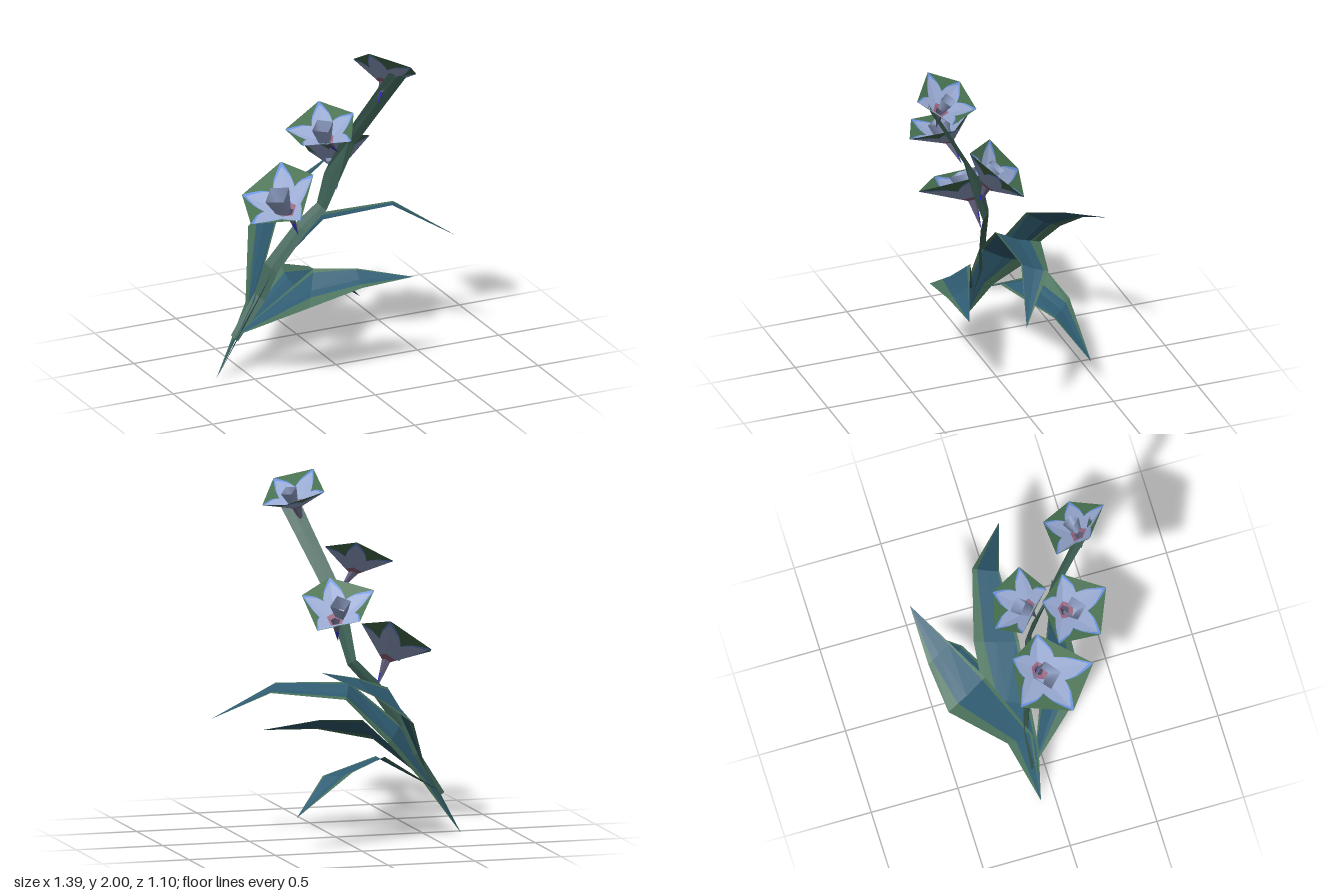
import * as THREE from 'three';

const V = (p) => new THREE.Vector3(...p);
const mix = (a, b, t) => a.clone().lerp(b, t);
const mat = (name, color, flatShading = true) => {
  const m = new THREE.MeshStandardMaterial({ color, side: THREE.DoubleSide, flatShading });
  m.name = name;
  return m;
};

// A strip spanning two polylines of equal length, optionally softened towards one normal
function strip(name, a, b, material, normal) {
  const pts = [];
  for (let i = 0; i < a.length - 1; i++) {
    pts.push(a[i], b[i], b[i + 1], a[i], b[i + 1], a[i + 1]);
  }
  const g = new THREE.BufferGeometry().setFromPoints(pts);
  g.computeVertexNormals();
  if (normal) {
    const n = g.attributes.normal, v = new THREE.Vector3();
    for (let i = 0; i < n.count; i++) {
      v.fromBufferAttribute(n, i).lerp(normal, 0.75).normalize();
      n.setXYZ(i, v.x, v.y, v.z);
    }
  }
  const mesh = new THREE.Mesh(g, material);
  mesh.name = name;
  return mesh;
}

// Leaf from rows of [outer edge, inner edge], sagging along the midrib;
// the green outer margin narrows towards the tip
function leaf(name, rows, M) {
  const group = new THREE.Group();
  group.name = name;
  const line = (uBase, uTip) => rows.map(([o, i], r) => {
    const u = uBase + (uTip - uBase) * r / (rows.length - 1);
    const a = V(o), b = V(i), p = mix(a, b, u);
    p.y -= a.distanceTo(b) * 0.06 * (1 - Math.abs(2 * u - 1));
    return p;
  });
  const lines = [line(0, 0), line(0.4, 0.12), line(0.5, 0.5), line(0.88, 0.97), line(1, 1)];
  for (let k = 0; k < 4; k++) {
    const margin = k === 0 || k === 3;
    group.add(strip(margin ? 'leafMargin' : 'leafBlade', lines[k], lines[k + 1], margin ? M.leafGreen : M.teal));
  }
  return group;
}

// Five-cornered trumpet flower: rim corners, throat centre, foot of the stalk,
// centre and size of the inner cup
function flower(name, rimPts, throatPt, footPt, cupPt, cupSize, M) {
  const group = new THREE.Group();
  group.name = name;
  const rim = rimPts.map(V), throat = V(throatPt), foot = V(footPt);
  const centre = rim.reduce((s, p) => s.add(p), new THREE.Vector3()).divideScalar(5);
  const axis = new THREE.Vector3();
  rim.forEach((p, i) => {
    axis.add(rim[(i + 1) % 5].clone().sub(centre).cross(p.clone().sub(centre)));
  });
  axis.normalize();
  const neck = rim.map((p) => throat.clone().addScaledVector(p.clone().sub(centre).normalize(), 0.028));
  const us = [0, 0.06, 0.16, 0.3, 0.42, 0.5, 0.58, 0.7, 0.84, 0.94, 1];
  const star = [0.9, 0.87, 0.81, 0.73, 0.62, 0.54, 0.62, 0.73, 0.81, 0.87, 0.9];
  const fringe = star.map((v, k) => v + 0.01 + 0.18 * Math.abs(us[k] - 0.5));
  const ring = (v) => star.map(() => v);
  for (let i = 0; i < 5; i++) {
    const j = (i + 1) % 5;
    const curve = (vs) => us.map((u, k) => mix(mix(neck[i], neck[j], u), mix(rim[i], rim[j], u), vs[k]));
    // petal heart, petal, fringe and the green web between petals
    const bands = [
      ['petalHeart', ring(0), ring(0.13), M.pink],
      ['petal', ring(0.13), star, M.petal],
      ['petalFringe', star, fringe, M.fringe],
      ['petalWeb', fringe, ring(1), M.webGreen],
    ];
    for (const [part, lo, hi, m] of bands) group.add(strip(part, curve(hi), curve(lo), m, axis));
    // tapering stalk
    const mid = [mix(neck[i], foot, 0.45), mix(neck[j], foot, 0.45)];
    group.add(
      strip('stalkUpper', [neck[i], neck[j]], mid, M.mauve),
      strip('stalkLower', mid, [foot, foot], i % 2 ? M.blue : M.mauve));
  }
  // inner cup
  const cup = new THREE.Mesh(new THREE.CylinderGeometry(0.06, 0.035, 0.1, 4, 1, true), M.petal);
  cup.scale.setScalar(cupSize);
  cup.quaternion.setFromUnitVectors(new THREE.Vector3(0, 1, 0), axis);
  cup.position.set(...cupPt);
  cup.name = 'innerCup';
  group.add(cup);
  return group;
}

export function createModel() {
  const M = {
    teal: mat('leafTeal', 0x305d73),
    leafGreen: mat('leafGreen', 0x4b735d),
    stem: mat('stemGreen', 0x41665a),
    petal: mat('petalPaleBlue', 0x97a8d0, false),
    webGreen: mat('webGreen', 0x47704f, false),
    fringe: mat('fringeBlue', 0x6890de, false),
    pink: mat('heartPink', 0x986580, false),
    mauve: mat('stalkMauve', 0x5c5876),
    blue: mat('stalkBlue', 0x2c2cc4),
  };
  const model = new THREE.Group();
  model.name = 'floweringPlant';

  // Stem: thin twisting ribbon with a slight ridge, from centres and half widths
  const stemRows = [
    [[-0.58, 0.225, -0.09], [0.015, -0.015, 0.015]],
    [[-0.43, 0.45, -0.08], [0.02, -0.02, 0.025]],
    [[-0.37, 0.62, -0.06], [0.025, -0.023, 0.03]],
    [[-0.21, 0.85, -0.01], [0.02, -0.022, 0.03]],
    [[-0.1, 0.97, 0.025], [0.018, -0.018, 0.024]],
    [[-0.07, 1.15, 0.08], [0.026, -0.028, 0.033]],
    [[-0.015, 1.4, 0.19], [0.04, -0.018, 0.006]],
    [[0.085, 1.67, 0.345], [0.046, -0.02, 0.004]],
    [[0.155, 1.865, 0.46], [0.053, -0.02, 0.003]],
  ];
  const stemLine = (side, d) => stemRows.map(([c, w]) =>
    V(c).addScaledVector(V(w), side).add(new THREE.Vector3(d, 0, -d)));
  const stem = new THREE.Group();
  stem.name = 'stem';
  for (const d of [0.004, -0.004]) {
    for (const side of [-1, 1]) stem.add(strip('stemSide', stemLine(side, 0), stemLine(0, d), M.stem));
  }
  model.add(stem);

  // Leaves
  const base = [-0.7, 0.0, -0.08], fork = [-0.58, 0.24, -0.085];
  const tip = (p) => [p, p];
  model.add(
    leaf('tallBackLeaf', [tip(base),
      [[-0.46, 0.38, -0.2], [-0.47, 0.44, -0.06]],
      [[-0.3, 0.7, -0.495], [-0.22, 0.87, -0.26]],
      [[-0.06, 0.87, -0.54], [0.0, 0.955, -0.4]],
      tip([0.25, 1.02, -0.555])], M),
    leaf('longLeaf', [tip(base),
      [[-0.45, 0.32, -0.15], [-0.52, 0.36, -0.04]],
      [[-0.22, 0.56, -0.265], [-0.36, 0.62, -0.04]],
      [[0.02, 0.81, -0.255], [-0.07, 0.87, -0.02]],
      [[0.42, 0.85, -0.145], [0.35, 0.885, -0.01]],
      tip([0.695, 0.68, 0.09])], M),
    leaf('frontLeaf', [tip(fork),
      [[-0.3, 0.49, 0.28], [-0.18, 0.635, 0.085]],
      [[0.02, 0.56, 0.295], [0.04, 0.63, 0.175]],
      tip([0.335, 0.57, 0.29])], M),
    leaf('lowBackLeaf', [tip(fork),
      [[-0.17, 0.5, -0.37], [-0.2, 0.46, -0.1]],
      [[0.03, 0.43, -0.42], [0.16, 0.395, -0.28]],
      tip([0.355, 0.19, -0.425])], M));

  // Flowers
  model.add(
    flower('topFlower', [[0, 1.9, 0.217], [0.225, 1.84, 0.206], [0.31, 1.815, 0.38], [0.195, 1.935, 0.547], [0.005, 2.0, 0.41]],
      [0.11, 1.8, 0.38], [0.07, 1.68, 0.385], [0.15, 1.86, 0.36], 0.8, M),
    flower('upperFlower', [[-0.37, 1.51, 0.12], [-0.15, 1.63, 0.09], [-0.01, 1.59, 0.245], [-0.13, 1.52, 0.465], [-0.38, 1.5, 0.36]],
      [-0.165, 1.44, 0.215], [-0.07, 1.34, 0.18], [-0.195, 1.5, 0.25], 1.1, M),
    flower('backFlower', [[-0.21, 1.38, -0.04], [-0.09, 1.23, -0.165], [0.14, 1.18, -0.11], [0.18, 1.355, 0.055], [-0.01, 1.43, 0.155]],
      [-0.015, 1.2, 0.055], [-0.04, 1.08, 0.09], [-0.035, 1.27, 0.02], 1, M),
    flower('lowerFlower', [[-0.51, 1.05, -0.14], [-0.28, 1.215, -0.12], [-0.165, 1.18, 0.055], [-0.37, 1.04, 0.32], [-0.59, 0.99, 0.14]],
      [-0.3, 0.97, 0.025], [-0.23, 0.81, 0.0], [-0.36, 1.04, 0.04], 1.3, M));
  return model;
}
